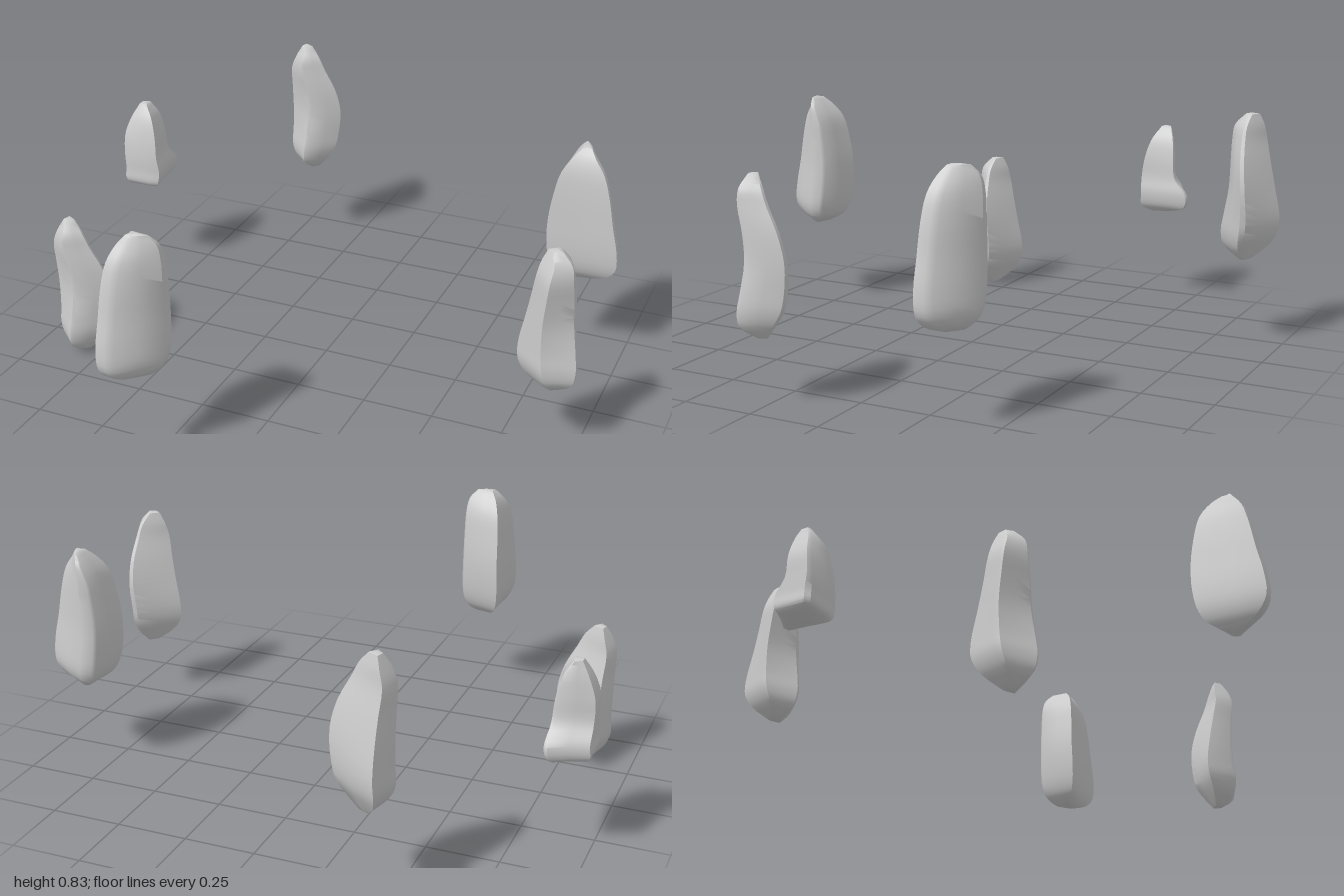
import * as THREE from 'three';
import { toCreasedNormals } from 'three/addons/utils/BufferGeometryUtils.js';

// Stone lofted from a footprint (unit square, clockwise from above) fitted at
// each level into the bounds [y, x0, x1, z0, z1]. Smooth rails join the levels.
function stoneGeometry(footprint, levels) {
  const steps = 24, n = footprint.length;
  const rails = footprint.map(([u, v]) => new THREE.CatmullRomCurve3(
    levels.map(([y, x0, x1, z0, z1]) => new THREE.Vector3(
      x0 + (x1 - x0) * u, y, z0 + (z1 - z0) * v))).getPoints(steps));
  const pos = [], index = [];
  for (let i = 0; i <= steps; i++) for (const rail of rails) pos.push(...rail[i].toArray());
  for (let i = 0; i < steps; i++) {
    for (let j = 0; j < n; j++) {
      const a = i * n + j, b = i * n + (j + 1) % n;
      index.push(a, a + n, b + n, a, b + n, b);
    }
  }
  // closing fans at the bottom and the top
  for (const i of [0, steps]) {
    const c = new THREE.Vector3();
    rails.forEach(rail => c.addScaledVector(rail[i], 1 / n));
    const centre = pos.length / 3;
    pos.push(c.x, c.y + (i ? 0.004 : -0.004), c.z);
    for (let j = 0; j < n; j++) {
      const a = i * n + j, b = i * n + (j + 1) % n;
      index.push(centre, ...(i ? [b, a] : [a, b]));
    }
  }
  const geo = new THREE.BufferGeometry();
  geo.setAttribute('position', new THREE.Float32BufferAttribute(pos, 3));
  geo.setIndex(index);
  return toCreasedNormals(geo, 0.75);
}

export function createModel() {
  const group = new THREE.Group();
  const material = new THREE.MeshStandardMaterial({ color: 0xcccccc });

  // tall stone, bulging on one side
  const tall = stoneGeometry(
    [[0.15, 0], [0.6, 0.2], [0.97, 0.4], [1, 0.5], [0.78, 0.74], [0.53, 0.98], [0.46, 1], [0.24, 0.81], [0, 0.62], [0, 0.52]],
    [
      [0.005, -0.03, 0.01, -0.01, 0.03],
      [0.05, -0.08, 0.05, -0.06, 0.09],
      [0.10, -0.10, 0.08, -0.09, 0.10],
      [0.16, -0.10, 0.092, -0.095, 0.09],
      [0.26, -0.10, 0.10, -0.075, 0.072],
      [0.35, -0.10, 0.08, -0.055, 0.072],
      [0.43, -0.098, 0.04, -0.038, 0.075],
      [0.48, -0.08, 0.015, -0.03, 0.068],
      [0.52, -0.06, -0.02, -0.015, 0.03],
    ]);

  // broad stone with one flat flank and a tapering nose
  const broad = stoneGeometry(
    [[0.05, 0], [0.5, 0.09], [0.95, 0.17], [1, 0.22], [1, 0.4], [0.68, 0.68], [0.36, 0.95], [0.2, 1], [0, 0.99], [0.06, 0.5]],
    [
      [0.005, -0.03, 0.03, -0.04, 0.03],
      [0.03, -0.06, 0.06, -0.085, 0.09],
      [0.07, -0.077, 0.077, -0.11, 0.123],
      [0.14, -0.083, 0.08, -0.125, 0.122],
      [0.24, -0.08, 0.078, -0.128, 0.10],
      [0.34, -0.075, 0.078, -0.115, 0.08],
      [0.42, -0.065, 0.077, -0.095, 0.055],
      [0.47, -0.045, 0.07, -0.06, 0.02],
      [0.50, -0.02, 0.045, -0.03, 0.00],
    ]);

  // small stone with a low foot at one back corner
  const small = stoneGeometry(
    [[0, 0.3], [0.4, 0.17], [0.8, 0], [0.88, 0.02], [0.92, 0.5], [1, 0.95], [0.75, 1], [0.1, 1], [0, 0.92]],
    [
      [0.005, -0.025, 0.03, -0.01, 0.05],
      [0.03, -0.075, 0.065, -0.09, 0.09],
      [0.08, -0.075, 0.075, -0.10, 0.09],
      [0.14, -0.075, 0.067, -0.05, 0.09],
      [0.22, -0.073, 0.06, -0.04, 0.08],
      [0.29, -0.05, 0.04, -0.03, 0.06],
      [0.34, -0.025, 0.005, -0.01, 0.03],
    ]);

  // ring of floating stones: name, shape, position, turn
  const stones = [
    ['backStone', tall, [-0.42, 0.31, -0.875], 0],
    ['frontRightStone', tall, [-0.81, 0, 0.32], 0],
    ['frontLeftStone', tall, [0.905, 0.22, 0.24], 1.19],
    ['frontStone', broad, [-0.28, 0.31, 0.84], 0],
    ['backLeftStone', broad, [0.832, 0.31, -0.38], 1.73],
    ['smallBackRightStone', small, [-0.925, 0.35, -0.39], 0],
  ];
  for (const [name, geometry, position, turn] of stones) {
    const mesh = new THREE.Mesh(geometry, material);
    mesh.name = name;
    mesh.position.set(...position);
    mesh.rotation.y = turn;
    group.add(mesh);
  }
  return group;
}
